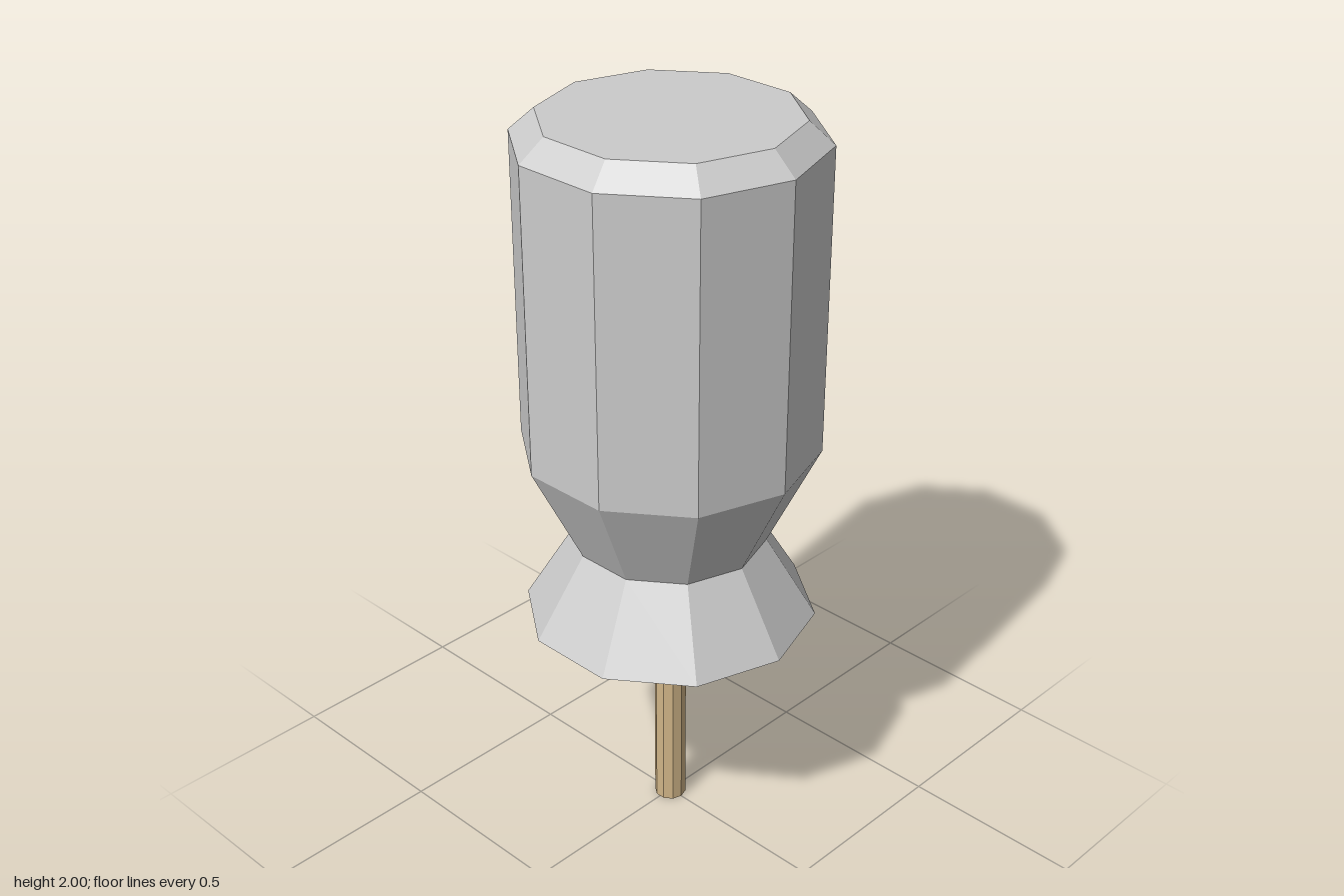
import * as THREE from 'three';

const SIDES = 10;

export function createModel() {
  const model = new THREE.Group();

  // Ten-sided handle: flared collar, narrow neck, grip and bevelled top
  const profile = [
    [0, 0.64], [0.387, 0.64], [0.253, 0.86], [0.387, 1.135],
    [0.387, 1.943], [0.323, 2], [0, 2],
  ].map(([r, y]) => new THREE.Vector2(r, y));
  const handle = new THREE.Mesh(
    new THREE.LatheGeometry(profile, SIDES),
    new THREE.MeshStandardMaterial({ color: 0xcccccc, flatShading: true }),
  );
  handle.name = 'handle';

  // Thin pin below the handle
  const pinHeight = 0.64;
  const pinMaterial = new THREE.MeshStandardMaterial({ flatShading: true });
  pinMaterial.color.set(0xd0b487);
  const pin = new THREE.Mesh(
    new THREE.CylinderGeometry(0.043, 0.043, pinHeight, SIDES),
    pinMaterial,
  );
  pin.position.y = pinHeight / 2;
  pin.name = 'pin';

  model.add(handle, pin);
  return model;
}
